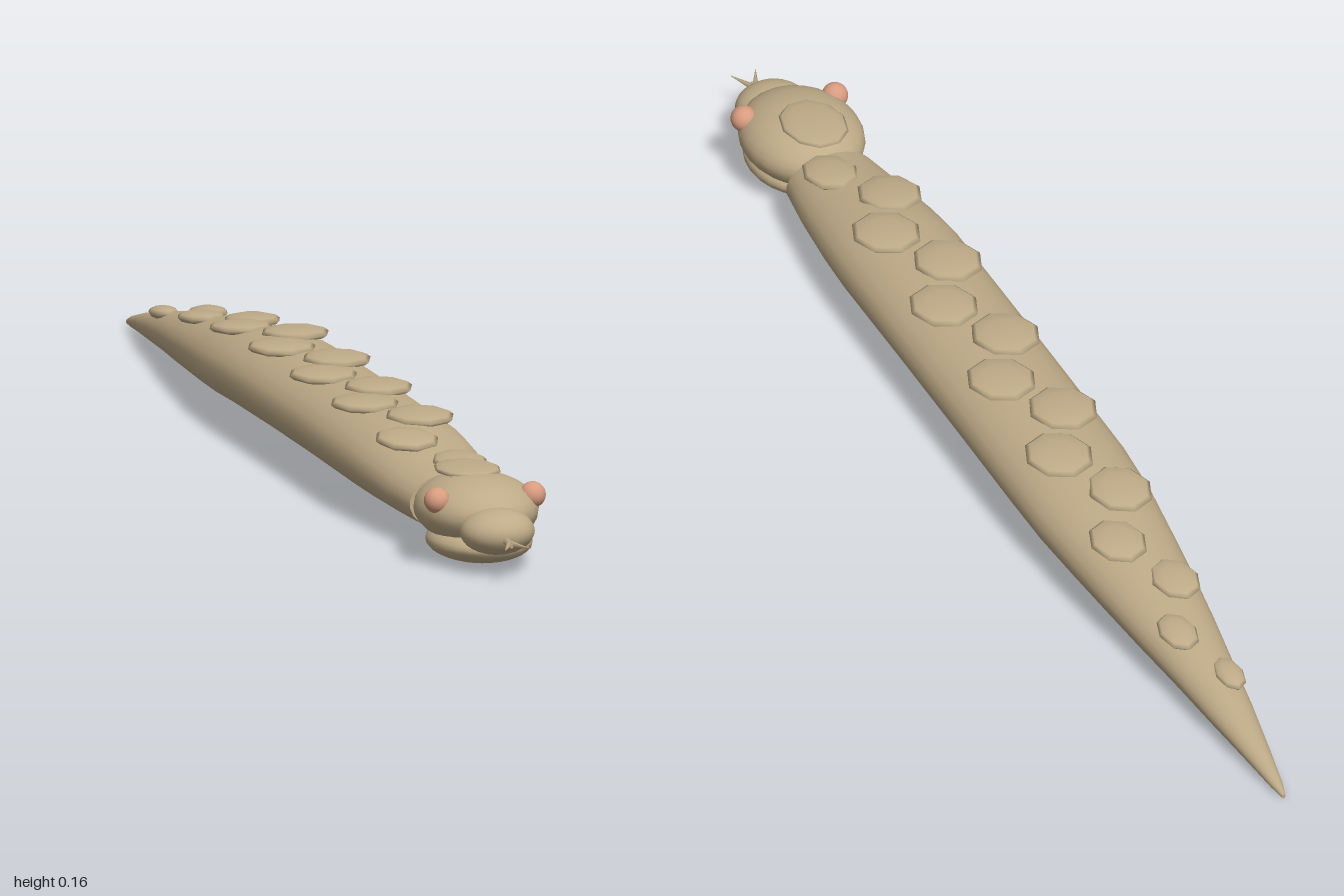
import * as THREE from 'three';

const skin = new THREE.MeshStandardMaterial({ color: 0xbfab88 });
skin.name = 'tan skin';
const eyeColor = new THREE.MeshStandardMaterial({ color: 0xd89c80 });
eyeColor.name = 'copper eye';

// Body stations: z, half width, bottom y, top y
const STATIONS = [
  [0.68, 0.072, 0.023, 0.115], [0.6, 0.084, 0.024, 0.124], [0.5, 0.095, 0.025, 0.139],
  [0.42, 0.1, 0.026, 0.147], [0.2, 0.1, 0.028, 0.149], [0, 0.1, 0.028, 0.149],
  [-0.2, 0.1, 0.026, 0.148], [-0.3, 0.096, 0.022, 0.14], [-0.4, 0.086, 0.019, 0.128],
  [-0.5, 0.075, 0.017, 0.115], [-0.6, 0.063, 0.015, 0.1], [-0.7, 0.049, 0.013, 0.083],
  [-0.8, 0.036, 0.01, 0.064], [-0.9, 0.021, 0.007, 0.041], [-0.97, 0.01, 0.004, 0.022],
  [-1, 0.003, 0.003, 0.011],
];

// Interpolates one column of the stations at a given z
function bodyAt(z, column) {
  const i = Math.max(1, STATIONS.findIndex((s) => s[0] <= z));
  const a = STATIONS[i - 1], b = STATIONS[i];
  return THREE.MathUtils.mapLinear(z, a[0], b[0], a[column], b[column]);
}

// Skins elliptical rings from neck to tail, closed at both ends
function bodyGeometry(sides = 24) {
  const positions = [], indices = [];
  for (const [z, w, low, high] of STATIONS) {
    for (let j = 0; j < sides; j++) {
      const a = ((j + 0.5) / sides) * Math.PI * 2;
      positions.push(w * Math.cos(a), (low + high) / 2 + ((high - low) / 2) * Math.sin(a), z);
    }
  }
  for (let i = 0; i < STATIONS.length - 1; i++) {
    for (let j = 0; j < sides; j++) {
      const a = i * sides + j, b = i * sides + ((j + 1) % sides);
      indices.push(a, a + sides, b, b, a + sides, b + sides);
    }
  }
  // End caps use their own vertices so the rims stay sharp
  for (const [ring, front] of [[0, true], [STATIONS.length - 1, false]]) {
    const start = positions.length / 3;
    positions.push(...positions.slice(ring * sides * 3, (ring + 1) * sides * 3));
    for (let j = 1; j < sides - 1; j++) {
      if (front) indices.push(start, start + j, start + j + 1);
      else indices.push(start, start + j + 1, start + j);
    }
  }
  const geometry = new THREE.BufferGeometry();
  geometry.setAttribute('position', new THREE.Float32BufferAttribute(positions, 3));
  geometry.setIndex(indices);
  geometry.computeVertexNormals();
  return geometry;
}

function ellipsoid(name, material, center, radii, segments = 24, rings = 16) {
  const geometry = new THREE.SphereGeometry(1, segments, rings).scale(...radii);
  const mesh = new THREE.Mesh(geometry, material);
  mesh.name = name;
  mesh.position.set(...center);
  return mesh;
}

// Thin cone running between two points, for the tongue
function spike(name, from, to, radius, tipRadius) {
  const a = new THREE.Vector3(...from), b = new THREE.Vector3(...to);
  const direction = b.clone().sub(a);
  const mesh = new THREE.Mesh(new THREE.CylinderGeometry(tipRadius, radius, direction.length(), 6), skin);
  mesh.name = name;
  mesh.position.copy(a).add(b).multiplyScalar(0.5);
  mesh.quaternion.setFromUnitVectors(new THREE.Vector3(0, 1, 0), direction.normalize());
  return mesh;
}

export function createModel() {
  const model = new THREE.Group();
  model.name = 'snake';

  const body = new THREE.Mesh(bodyGeometry(), skin);
  body.name = 'body';
  model.add(body);

  // Head
  const head = new THREE.Group();
  head.name = 'head';
  head.add(
    ellipsoid('skull', skin, [0, 0.082, 0.785], [0.093, 0.053, 0.112]),
    ellipsoid('lowerJaw', skin, [0, 0.036, 0.8], [0.079, 0.031, 0.1]),
    ellipsoid('snout', skin, [0, 0.067, 0.893], [0.057, 0.035, 0.052]),
    ellipsoid('crownScale', skin, [0, 0.132, 0.74], [0.05, 0.009, 0.066], 10, 8),
  );
  for (const side of [-1, 1]) {
    const name = side > 0 ? 'leftEye' : 'rightEye';
    head.add(ellipsoid(name, eyeColor, [side * 0.075, 0.106, 0.83], [0.02, 0.02, 0.02], 20, 14));
  }
  model.add(head);

  // Forked tongue
  const tongue = new THREE.Group();
  tongue.name = 'tongue';
  tongue.add(spike('tongueStem', [0, 0.061, 0.925], [0, 0.06, 0.968], 0.007, 0.005));
  for (const side of [-1, 1]) {
    tongue.add(spike('tongueFork', [side * 0.002, 0.06, 0.96], [side * 0.02, 0.06, 1], 0.005, 0.0005));
  }
  model.add(tongue);

  // Back scales, alternating from side to side and shrinking at both ends
  const scales = new THREE.Group();
  scales.name = 'backScales';
  for (let i = 0; i < 14; i++) {
    const z = 0.628 - i * 0.1065;
    const size = THREE.MathUtils.clamp(bodyAt(z, 1) / 0.1, 0.4, 1);
    const x = (i % 2 ? -0.029 : 0.025) * Math.sqrt(size);
    const scale = ellipsoid('backScale', skin, [x, bodyAt(z, 3) - 0.001, z],
      [0.053 * size, 0.0105, 0.06 * Math.sqrt(size)], 8, 6);
    // Follow the slope of the back
    const slope = (bodyAt(z + 0.04, 3) - bodyAt(z - 0.04, 3)) / 0.08;
    scale.rotation.x = -Math.atan(slope) * 0.6;
    scales.add(scale);
  }
  model.add(scales);

  return model;
}
